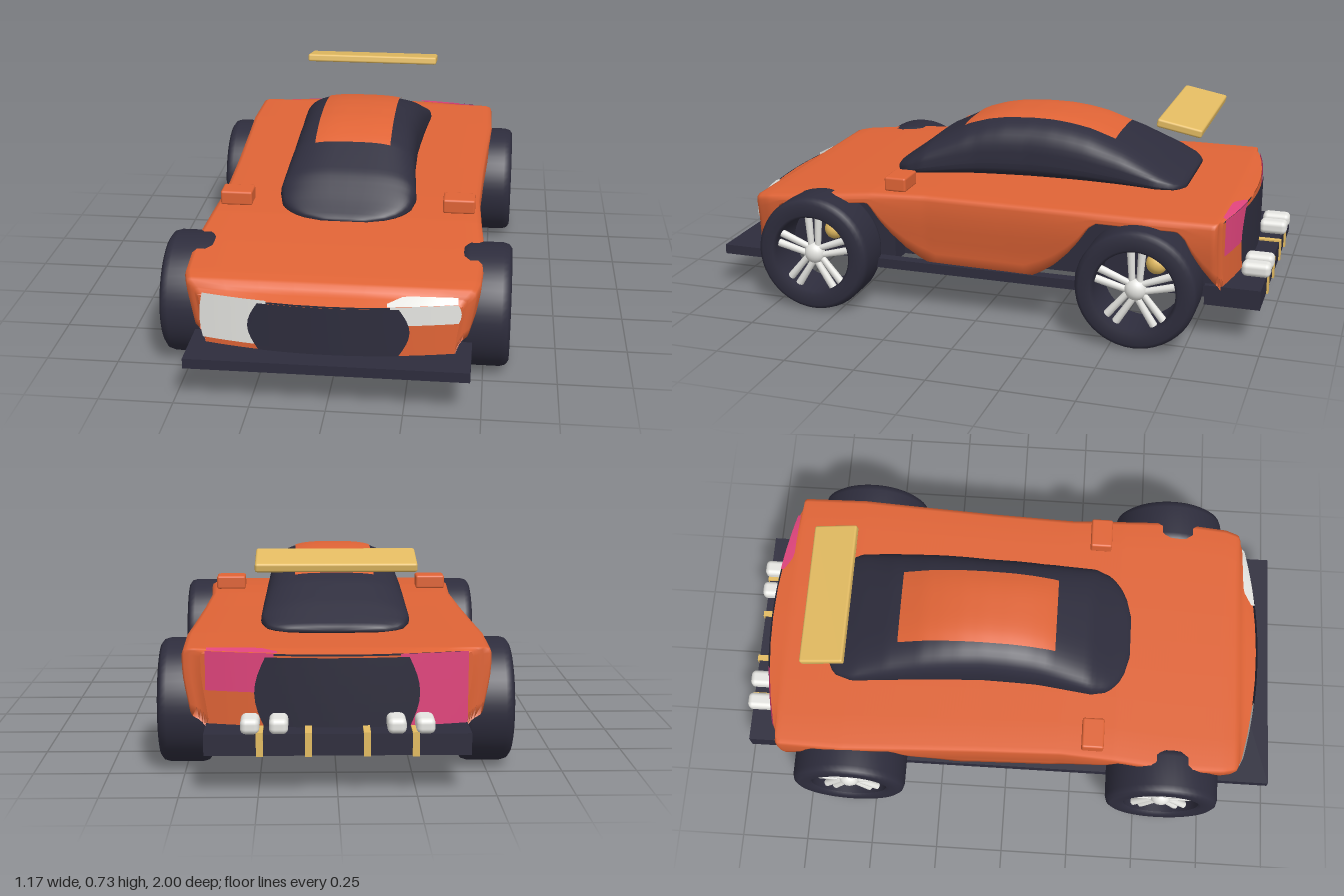
import * as THREE from 'three';
import { RoundedBoxGeometry } from 'three/addons/geometries/RoundedBoxGeometry.js';

const paint = (name, color) => {
  const m = new THREE.MeshStandardMaterial({ color, side: THREE.DoubleSide });
  m.name = name;
  return m;
};
const { smoothstep, lerp, clamp } = THREE.MathUtils;

// Linear lookup in a short table of [key, value] pairs, keys rising
function lookup(table, k) {
  if (k <= table[0][0]) return table[0][1];
  for (let i = 1; i < table.length; i++) {
    const [a, va] = table[i - 1], [b, vb] = table[i];
    if (k <= b) return va + ((vb - va) * (k - a)) / (b - a);
  }
  return table[table.length - 1][1];
}

// Smooth surface through equal-length rows of [x, y, z] points
function sheet(rows) {
  const n = rows[0].length, index = [];
  for (let i = 0; i < rows.length - 1; i++)
    for (let j = 0; j < n - 1; j++) {
      const a = i * n + j, b = a + 1, c = a + n, d = c + 1;
      index.push(a, b, c, b, d, c);
    }
  const g = new THREE.BufferGeometry();
  g.setAttribute('position', new THREE.Float32BufferAttribute(rows.flat(2), 3));
  g.setIndex(index);
  g.computeVertexNormals();
  return g;
}
const range = (n, fn) => Array.from({ length: n + 1 }, (_, i) => fn(i / n));

const FRONT = 0.925, REAR = -0.905, AXLES = [0.59, -0.585];

// Body outline along z
const bodyWidth = [[-0.905, 0.435], [-0.86, 0.462], [-0.84, 0.495], [-0.6, 0.5], [-0.4, 0.49], [-0.1, 0.477],
  [0.2, 0.468], [0.4, 0.479], [0.6, 0.495], [0.8, 0.487], [0.85, 0.474], [0.87, 0.45], [0.925, 0.435]];
const bodyTop = [[-0.905, 0.435], [-0.84, 0.443], [-0.6, 0.443], [-0.1, 0.437], [0.2, 0.435], [0.4, 0.43],
  [0.6, 0.412], [0.8, 0.39], [0.85, 0.38], [0.87, 0.358], [0.925, 0.338]];
const archHeight = [[0, 0.41], [0.15, 0.41], [0.185, 0.385], [0.22, 0.33], [0.26, 0.28],
  [0.31, 0.23], [0.36, 0.195], [0.42, 0.163]];

function bodyBottom(z) {
  const d = z > 0 ? z - AXLES[0] : AXLES[1] - z;
  return lookup(archHeight, d > 0 ? d * 1.25 : -d);
}
// Plan-view curve of the nose and tail
function bow(x, z) {
  const end = z > 0 ? FRONT : -REAR;
  return z - Math.sign(z) * 0.062 * (x / 0.46) ** 2 * clamp((Math.abs(z) - end) / 0.065 + 1, 0, 1);
}

// Half cross-section, from the tucked-in lower lip up and in to the centre line
function halfSection(z) {
  const w = lookup(bodyWidth, z), yt = lookup(bodyTop, z);
  const yb = Math.min(bodyBottom(z), yt - 0.035);
  const side = (y) => w * (0.94 + 0.06 * smoothstep(y, 0.17, 0.39));
  return [
    [lerp(0.66, 0.81, smoothstep(yb, 0.165, 0.25)) * w, yb],
    ...range(5, (t) => yb + t * (yt - 0.02 - yb)).map((y) => [side(y), y]),
    [0.99 * w, yt - 0.006], [0.96 * w, yt],
    ...[0.75, 0.5, 0.25, 0].map((f) => [f * w, yt]),
  ];
}

// Canopy outline along z
const canopyTop = [[-0.675, 0.477], [-0.56, 0.54], [-0.45, 0.595], [-0.32, 0.643], [-0.25, 0.658], [-0.18, 0.667],
  [-0.1, 0.669], [0, 0.663], [0.07, 0.65], [0.14, 0.627], [0.29, 0.55], [0.38, 0.48], [0.44, 0.437]];
const canopyWidth = [[-0.675, 0.17], [-0.65, 0.225], [-0.58, 0.25], [-0.4, 0.24], [-0.1, 0.224], [0.1, 0.226],
  [0.3, 0.243], [0.36, 0.228], [0.4, 0.19], [0.425, 0.14], [0.44, 0.08]];
function canopyAt(z) {
  const yt = lookup(canopyTop, z), yb = 0.436 - 0.03 * z;
  const h = Math.max(yt - yb, 0.006);
  return { w: lookup(canopyWidth, z), yc: yb + 0.3 * h, up: 0.7 * h, down: 0.3 * h };
}
const ROUND = 3.1;

export function createModel() {
  const orange = paint('bodyOrange', 0xe06436);
  const dark = paint('darkTrim', 0x2e2d3d);
  const white = paint('lampSilver', 0xe6e6e2);
  const gold = paint('gold', 0xe4bc62);
  const pink = paint('tailPink', 0xe0447c);
  const car = new THREE.Group();
  car.name = 'sportsCar';

  function add(name, geometry, material, x = 0, y = 0, z = 0, parent = car) {
    const m = new THREE.Mesh(geometry, material);
    m.name = name;
    m.position.set(x, y, z);
    parent.add(m);
    return m;
  }
  const box = (name, mat, w, h, d, x, y, z) => add(name, new THREE.BoxGeometry(w, h, d), mat, x, y, z);

  // Body shell with its nose and tail
  add('bodyShell', sheet(range(150, (t) => {
    const z = REAR + t * (FRONT - REAR), half = halfSection(z);
    const right = half.map(([x, y]) => [x, y, bow(x, z)]);
    const left = right.slice(0, -1).reverse().map(([x, y, zz]) => [-x, y, zz]);
    return [...right, ...left];
  })), orange);
  for (const [name, z] of [['nose', FRONT], ['tail', REAR]])
    add(name, sheet(halfSection(z).slice(1, 8).map(([w, y]) =>
      range(16, (t) => [(2 * t - 1) * w, y, bow((2 * t - 1) * w, z)]))), orange);

  // Underfloor and wheel housings
  box('underfloor', dark, 0.62, 0.17, 1.68, 0, 0.235, 0);
  for (const [z, top] of [[AXLES[0], 0.382], [AXLES[1], 0.418]]) {
    box('wheelHousing', dark, 0.8, 0.2, 0.5, 0, 0.25, z);
    box('wheelArch', dark, 0.8, top - 0.3, 0.41, 0, (top + 0.3) / 2, z);
  }
  box('frontSplitter', dark, 0.925, 0.035, 0.27, 0, 0.148, 0.865);
  box('rearDiffuser', dark, 0.84, 0.07, 0.19, 0, 0.165, -0.89);
  for (const s of [-1, 1]) box('sideSill', dark, 0.04, 0.035, 0.86, s * 0.44, 0.162, 0);

  // Thin plates that follow the nose or tail
  function endPlate(name, mat, end, off, y0, y1, xa, xb) {
    add(name, sheet(range(8, (v) => range(10, (u) => {
      const x = xa(v) + u * (xb(v) - xa(v));
      return [x, y0 + v * (y1 - y0), bow(x, end) + Math.sign(end) * off];
    }))), mat);
  }
  const bulge = (v) => 0.228 + 0.035 * Math.sin(Math.PI * v);
  const outer = (v) => 0.405 + 0.022 * Math.sin(Math.PI * Math.min(1, 0.2 + v * 0.65));
  const inner = () => 0.2;
  const tailOuter = () => 0.42;
  const neg = (f) => (v) => -f(v);
  endPlate('frontGrille', dark, FRONT, 0.007, 0.168, 0.335, neg(bulge), bulge);
  endPlate('headlightRight', white, FRONT, 0.004, 0.185, 0.345, neg(outer), neg(inner));
  endPlate('headlightLeft', white, FRONT, 0.004, 0.275, 0.342, inner, outer);
  endPlate('rearPanel', dark, REAR, 0.007, 0.19, 0.425, neg(bulge), bulge);
  endPlate('tailLightRight', pink, REAR, 0.004, 0.2, 0.435, neg(tailOuter), neg(inner));
  endPlate('tailLightLeft', pink, REAR, 0.004, 0.31, 0.438, inner, tailOuter);

  // Left lamps wrap over the top edge of the body
  for (const [name, mat, end] of [['headlightTop', white, FRONT], ['tailLightTop', pink, REAR]])
    add(name, sheet(range(6, (v) => range(10, (u) => {
      const x = 0.19 + 0.225 * u, z = end - Math.sign(end) * v * 0.053 * Math.min(1, 0.3 + 3 * u);
      return [x, lookup(bodyTop, z) + 0.005, bow(x, z) + Math.sign(end) * 0.004];
    }))), mat);

  // Glass canopy
  const canopyRow = (z, k) => {
    const c = canopyAt(z);
    return range(48, (t) => {
      const a = t * Math.PI * 2, co = Math.cos(a), si = Math.sin(a);
      const p = (q) => Math.sign(q) * Math.abs(q) ** (2 / ROUND);
      return [k * c.w * p(co), c.yc + k * (si > 0 ? c.up : c.down) * p(si), z];
    });
  };
  add('canopy', sheet([canopyRow(-0.675, 0),
    ...range(64, (t) => canopyRow(-0.675 + t * 1.115, 1)), canopyRow(0.44, 0)]), dark);

  // Roof panel lying on the canopy
  add('roofPanel', sheet(range(24, (v) => range(12, (u) => {
    const x = -0.137 + 0.274 * u, z = -0.41 + 0.57 * v, c = canopyAt(z);
    return [x, c.yc + c.up * (1 - Math.abs(x / c.w) ** ROUND) ** (1 / ROUND) + 0.004, z];
  }))), orange);

  // Mirrors and rear wing
  for (const s of [-1, 1])
    add('mirror', new RoundedBoxGeometry(0.113, 0.052, 0.08, 2, 0.008), orange, s * 0.396, 0.461, 0.315);
  add('rearWing', new RoundedBoxGeometry(0.526, 0.03, 0.16, 2, 0.008), gold, 0, 0.697, -0.66).rotation.x = -0.19;

  // Exhausts and diffuser fins
  for (const s of [-1, 1]) {
    for (const x of [0.185, 0.275])
      add('exhaust', new RoundedBoxGeometry(0.06, 0.05, 0.1, 3, 0.018), white, s * x, 0.225, -0.95);
    for (const x of [0.092, 0.245])
      box('diffuserFin', gold, 0.022, 0.078, 0.085, s * x, 0.167, -0.949);
  }

  // Wheels: tyre ring, paired spokes, hub and brake caliper
  const tyre = new THREE.LatheGeometry([[0.14, -0.075], [0.15, -0.085], [0.19, -0.085], [0.204, -0.075], [0.21, -0.055],
    [0.21, 0.055], [0.204, 0.075], [0.19, 0.085], [0.15, 0.085], [0.14, 0.075], [0.14, -0.075]]
    .map(([r, y]) => new THREE.Vector2(r, y)), 48).rotateZ(-Math.PI / 2);
  const hub = new THREE.SphereGeometry(0.038, 20, 14).scale(0.8, 1, 1);
  const spoke = new THREE.CylinderGeometry(0.014, 0.011, 0.125, 10);
  for (const s of [-1, 1])
    for (const z of AXLES) {
      const wheel = new THREE.Group();
      wheel.name = z > 0 ? 'frontWheel' : 'rearWheel';
      wheel.position.set(s * 0.5, 0.21, z);
      car.add(wheel);
      add('tyre', tyre, dark, 0, 0, 0, wheel);
      add('hub', hub, white, s * 0.05, 0, 0, wheel);
      for (let i = 0; i < 5; i++) {
        const pair = new THREE.Group();
        pair.name = 'spokePair';
        pair.rotation.x = (i * Math.PI * 2) / 5;
        wheel.add(pair);
        for (const o of [-1, 1])
          add('spoke', spoke, white, s * 0.05, 0.08, o * 0.016, pair).rotation.x = o * 0.06;
      }
      add('brakeCaliper', new THREE.SphereGeometry(0.037, 16, 12), gold, 0, 0.082, -0.06, wheel);
    }
  return car;
}
